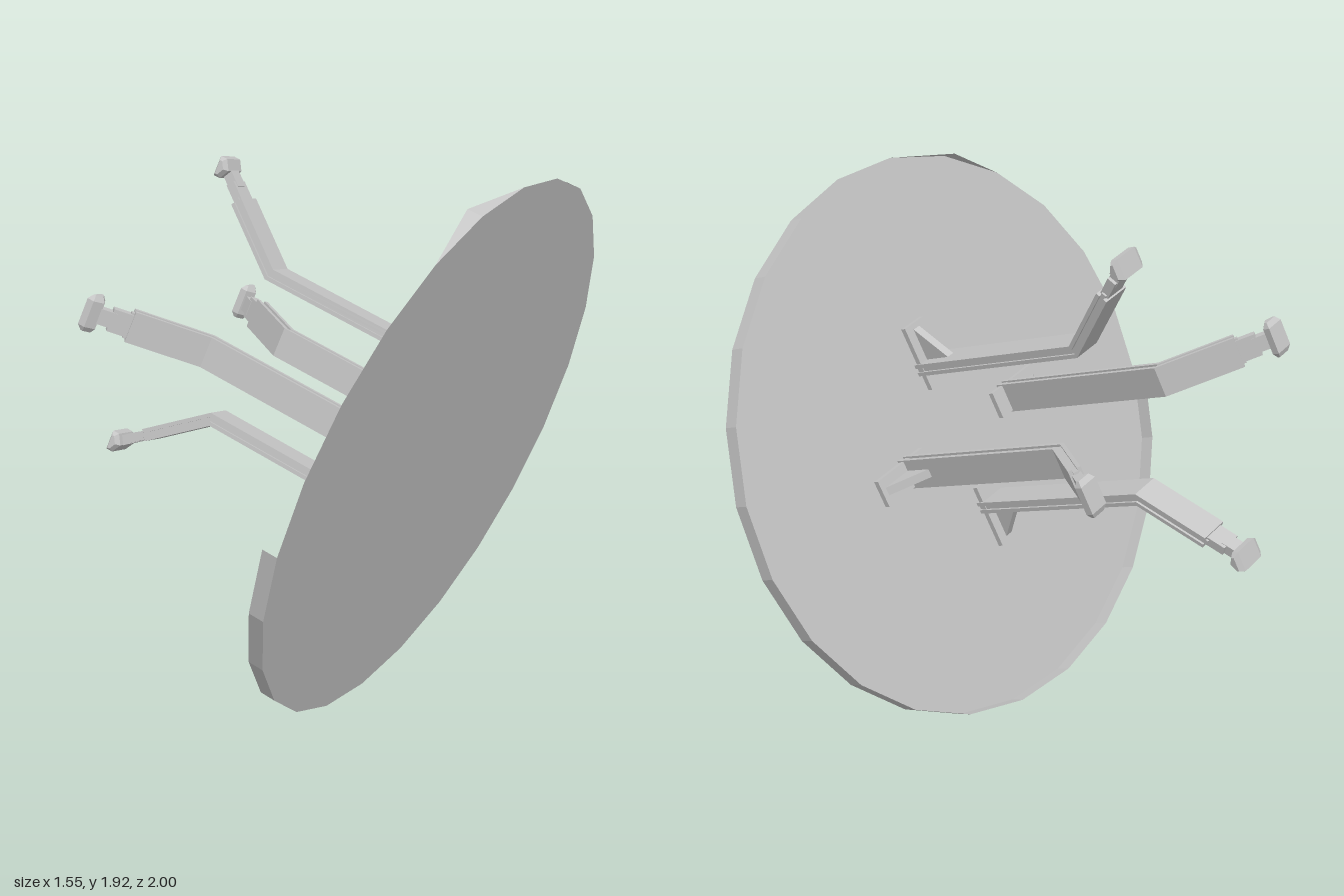
import * as THREE from 'three';

const grey = new THREE.MeshStandardMaterial({ color: 0xc4c4c4, side: THREE.DoubleSide });
grey.name = 'grey';

const RIM = 0.055;
const rad = THREE.MathUtils.degToRad;

function add(parent, geometry, name) {
  const flat = geometry.index ? geometry.toNonIndexed() : geometry;
  flat.computeVertexNormals();
  const mesh = new THREE.Mesh(flat, grey);
  mesh.name = name;
  parent.add(mesh);
  return mesh;
}

// Outline in the radial/height plane, extruded sideways and centred
function slab(points, width, bevel = 0) {
  const shape = new THREE.Shape(points.map(([x, y]) => new THREE.Vector2(x, y)));
  return new THREE.ExtrudeGeometry(shape, {
    depth: width - 2 * bevel, bevelEnabled: bevel > 0, bevelSegments: 1,
    bevelThickness: bevel, bevelSize: bevel * 0.6, bevelOffset: -bevel * 0.6,
  }).translate(0, 0, bevel - width / 2);
}

// Leg centre line: straight post, then a kick outwards
const R = 0.28, BEND = 0.8;
const DIR = [0.623, 0.782], NORMAL = [0.782, -0.623];
const along = (s, o) => [R + DIR[0] * s + NORMAL[0] * o, BEND + DIR[1] * s + NORMAL[1] * o];

// Bent strip lying between two offsets from the centre line
function strip(o0, o1, end) {
  const mitre = o => [R + o, BEND - 0.35 * o];
  return [[R + o0, 0.03], [R + o1, 0.03], mitre(o1), along(end, o1), along(end, o0), mitre(o0)];
}

// Straight piece on the kicked-out part
const bar = (s0, s1, h) => [along(s0, -h), along(s0, h), along(s1, h), along(s1, -h)];

function makeLeg() {
  const leg = new THREE.Group();
  leg.name = 'leg';
  // layered bar with a groove along both edges
  add(leg, slab(strip(-0.022, -0.008, 0.28), 0.11), 'innerStrip');
  add(leg, slab(strip(-0.009, 0.009, 0.29), 0.094), 'coreStrip');
  add(leg, slab(strip(0.008, 0.022, 0.28), 0.11), 'outerStrip');
  // narrowing end and neck
  add(leg, slab(bar(0.25, 0.35, 0.016), 0.08), 'legEnd');
  add(leg, slab(bar(0.33, 0.395, 0.018), 0.055), 'neck');
  // bevelled foot pad with a flat sole and a ridged back
  const foot = slab([[-0.036, -0.012], [0, -0.034], [0.036, -0.012], [0.036, 0.014], [-0.036, 0.014]], 0.13, 0.018);
  add(leg, foot, 'foot').position.set(0.535, 1.127, 0);
  // mounting plate and gusset on the underside of the top
  add(leg, new THREE.BoxGeometry(0.24, 0.02, 0.1), 'mountingPlate').position.set(0.32, 0.05, 0);
  add(leg, slab([[R, 0.05], [0.42, 0.05], [0.42, 0.06], [R + 0.02, 0.17], [R, 0.17]], 0.03), 'gusset');
  return leg;
}

// Thin round sheet with a shallow lip that is missing along its upper edge
function makeTop() {
  const top = new THREE.Group();
  top.name = 'tableTop';
  add(top, new THREE.CircleGeometry(1, 24).rotateX(Math.PI / 2), 'topSheet');
  const lip = new THREE.CylinderGeometry(1, 1, RIM, 16, 1, true, rad(-240), rad(240));
  add(top, lip.translate(0, RIM / 2, 0), 'lip');
  // remaining scrap of lip
  const corner = (deg, y) => new THREE.Vector3(Math.cos(rad(deg)), y, Math.sin(rad(deg)));
  const scrap = new THREE.BufferGeometry().setFromPoints(
    [corner(0, 0), corner(15, RIM), corner(15, 0), corner(30, 0)]);
  scrap.setIndex([0, 1, 2, 2, 1, 3]);
  add(top, scrap, 'lipScrap');
  return top;
}

export function createModel() {
  const model = new THREE.Group();
  model.name = 'tippedRoundTable';

  const table = new THREE.Group();
  table.name = 'table';
  table.add(makeTop());
  for (let k = 0; k < 4; k++) {
    const leg = makeLeg();
    leg.rotation.y = rad(15 + 90 * k);
    table.add(leg);
  }

  // Tip the table on its rim, legs pointing sideways
  const axis = new THREE.Vector3(-0.956, 0.287, -0.067).normalize();
  const up = new THREE.Vector3(0, 1, 0).addScaledVector(axis, -axis.y).normalize();
  const side = new THREE.Vector3().crossVectors(up, axis);
  table.quaternion.setFromRotationMatrix(new THREE.Matrix4().makeBasis(up, axis, side));
  table.position.set(0.48, 0.964, 0);
  model.add(table);
  return model;
}
